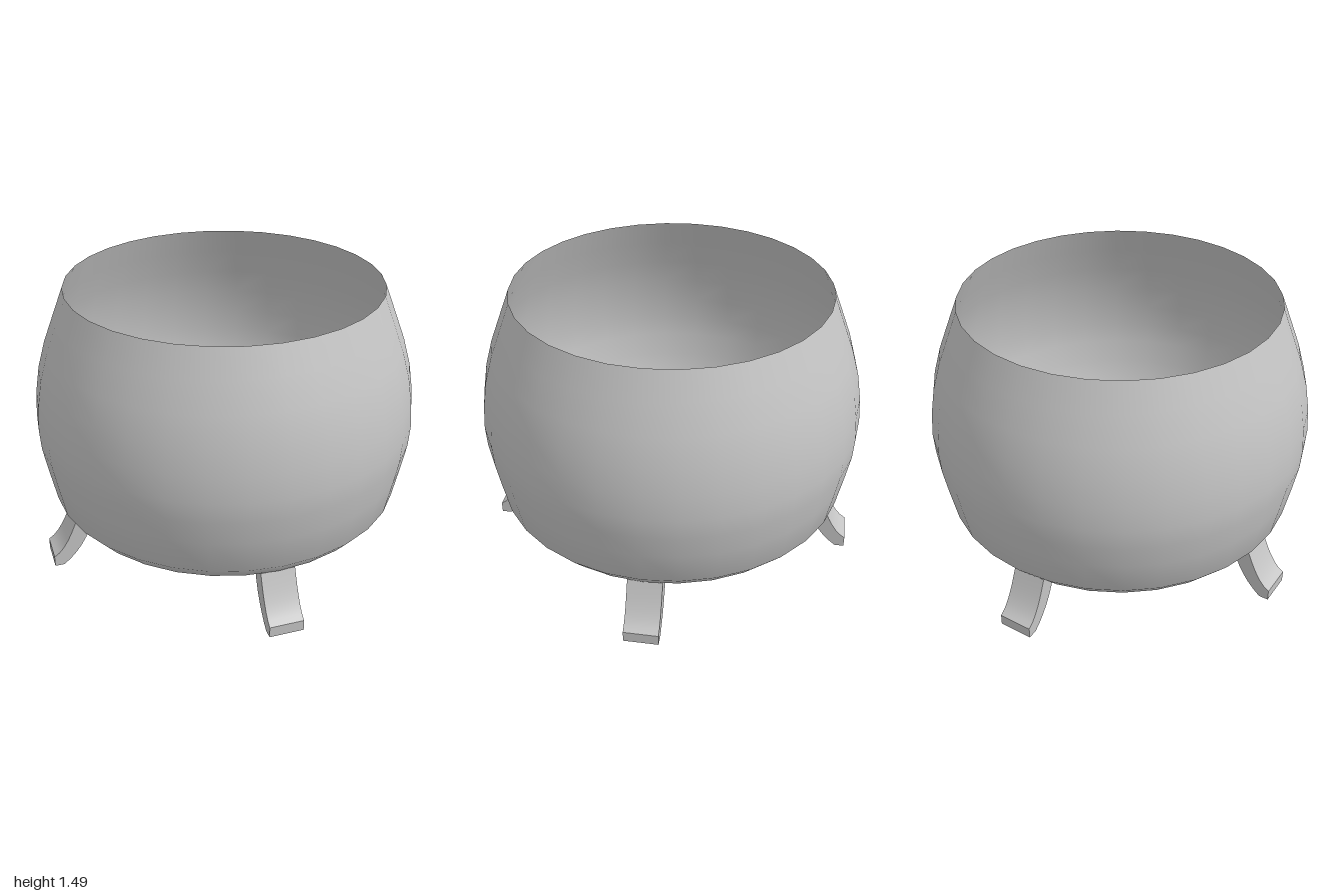
import * as THREE from 'three';
import { toCreasedNormals } from 'three/addons/utils/BufferGeometryUtils.js';

export function createModel() {
  const model = new THREE.Group();
  model.name = 'footedPot';
  const grey = new THREE.MeshStandardMaterial({ color: 0xc4c4c4, side: THREE.DoubleSide });
  grey.name = 'grey';

  // open thin-walled bowl, profile from the base centre up to the rim
  const profile = [
    [0, 0.166], [0.2, 0.173], [0.45, 0.196], [0.6, 0.214], [0.75, 0.24], [0.86, 0.288],
    [0.928, 0.365], [0.966, 0.55], [0.99, 0.68], [0.997, 0.79], [0.988, 0.92],
    [0.965, 1.06], [0.925, 1.2], [0.87, 1.345], [0.815, 1.488],
  ].map(([r, y]) => new THREE.Vector2(r, y));
  const bowl = new THREE.Mesh(new THREE.LatheGeometry(profile, 32), grey);
  bowl.name = 'bowl';
  model.add(bowl);

  // curved leg: side profile (radius, height) extruded across its width
  const width = 0.18;
  const side = new THREE.Shape();
  side.moveTo(0.99, 0);
  side.lineTo(0.99, 0.058);
  side.bezierCurveTo(0.93, 0.09, 0.89, 0.18, 0.85, 0.284);
  side.lineTo(0.775, 0.246);
  side.bezierCurveTo(0.8, 0.15, 0.86, 0.06, 0.94, 0);
  side.closePath();
  const legGeometry = toCreasedNormals(
    new THREE.ExtrudeGeometry(side, { depth: width, bevelEnabled: false, curveSegments: 6 })
      .translate(0, 0, -width / 2), 0.6);

  // four legs on the diagonals
  ['backLeftLeg', 'backRightLeg', 'frontRightLeg', 'frontLeftLeg'].forEach((name, i) => {
    const leg = new THREE.Mesh(legGeometry, grey);
    leg.name = name;
    leg.rotation.y = Math.PI / 4 + i * Math.PI / 2;
    model.add(leg);
  });
  return model;
}
